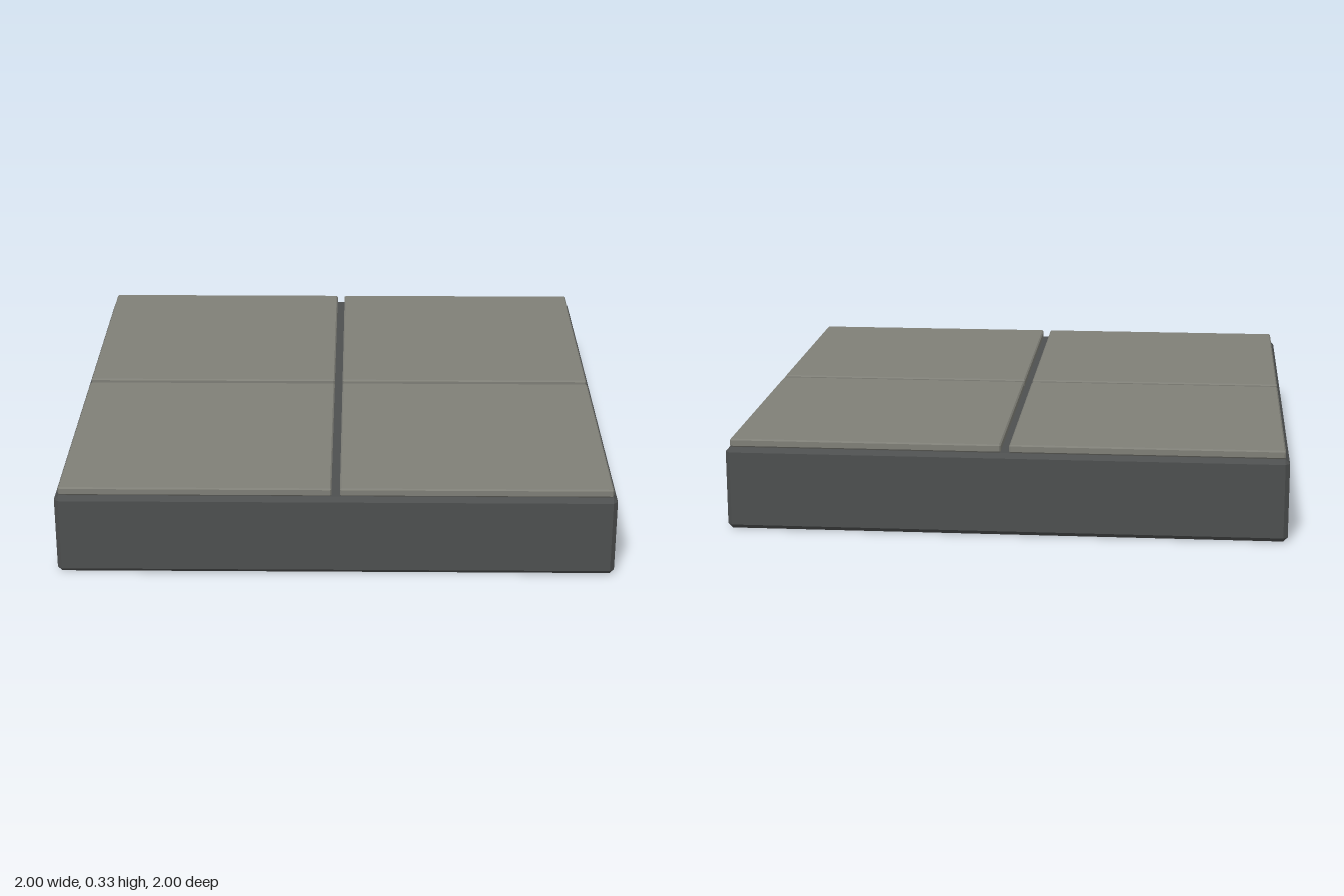
import * as THREE from 'three';
import { ConvexGeometry } from 'three/addons/geometries/ConvexGeometry.js';

// Box with every edge and corner cut by a flat chamfer c
function chamferedBox(w, h, d, c) {
  const points = [];
  for (const sx of [-1, 1]) for (const sy of [-1, 1]) for (const sz of [-1, 1]) {
    for (let axis = 0; axis < 3; axis++) {
      const half = [w / 2 - c, h / 2 - c, d / 2 - c];
      half[axis] += c;
      points.push(new THREE.Vector3(sx * half[0], sy * half[1], sz * half[2]));
    }
  }
  return new ConvexGeometry(points);
}

export function createModel() {
  const group = new THREE.Group();
  group.name = 'tiledFloorBlock';

  const baseHeight = 0.3, tileHeight = 0.03, tileSize = 0.97, tileCentre = 0.5;
  const baseMaterial = new THREE.MeshStandardMaterial({ color: 0x4d4f4f, flatShading: true });
  const tileMaterial = new THREE.MeshStandardMaterial({ color: 0x7f7f77, flatShading: true });

  // Dark slab
  const base = new THREE.Mesh(chamferedBox(2, baseHeight, 2, 0.016), baseMaterial);
  base.name = 'base';
  base.position.y = baseHeight / 2;
  group.add(base);

  // Four thin tiles separated by a cross-shaped joint
  const tileGeometry = chamferedBox(tileSize, tileHeight, tileSize, 0.005);
  for (const [sx, side] of [[-1, 'Right'], [1, 'Left']]) {
    for (const [sz, end] of [[-1, 'back'], [1, 'front']]) {
      const tile = new THREE.Mesh(tileGeometry, tileMaterial);
      tile.name = `${end}${side}Tile`;
      tile.position.set(sx * tileCentre, baseHeight + tileHeight / 2, sz * tileCentre);
      group.add(tile);
    }
  }
  return group;
}
